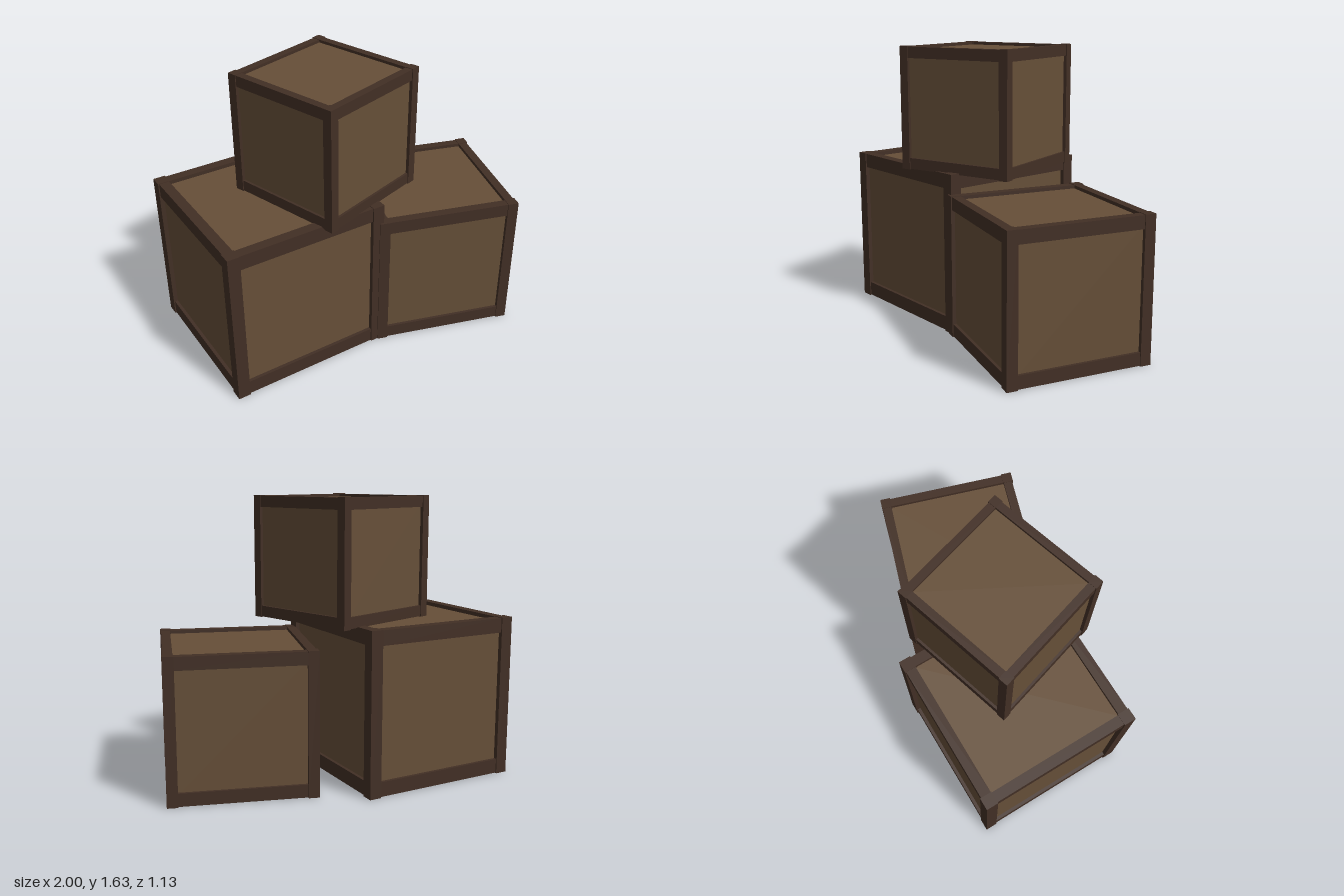
import * as THREE from 'three';

const panelWood = new THREE.MeshStandardMaterial({ color: 0x664f38 });
panelWood.name = 'panel wood';
const frameWood = new THREE.MeshStandardMaterial({ color: 0x422f25 });
frameWood.name = 'frame wood';

function addBox(parent, name, material, size, position) {
  const mesh = new THREE.Mesh(new THREE.BoxGeometry(...size), material);
  mesh.name = name;
  mesh.position.set(...position);
  parent.add(mesh);
}

// A crate standing on its local y = 0: recessed core, proud corner posts, rails between them
function makeCrate(name, width, height) {
  const crate = new THREE.Group();
  crate.name = name;
  const proud = 0.007 * width;
  const post = 0.074 * width;
  const railDepth = 0.063 * width;
  const railHeight = 0.09 * height;
  const recess = 0.027 * width;
  const half = width / 2;
  const railCentre = half - proud - railDepth / 2;
  const railLength = width - 2 * post;

  addBox(crate, 'panels', panelWood,
    [width - 2 * recess, height - 2 * recess, width - 2 * recess], [0, height / 2, 0]);

  for (const sx of [-1, 1]) {
    for (const sz of [-1, 1]) {
      addBox(crate, 'cornerPost', frameWood, [post, height, post],
        [sx * (half - post / 2), height / 2, sz * (half - post / 2)]);
    }
  }

  // Rails along the top and bottom edges
  const inset = 0.003;
  for (const y of [inset + railHeight / 2, height - inset - railHeight / 2]) {
    for (const s of [-1, 1]) {
      addBox(crate, 'rail', frameWood, [railLength, railHeight, railDepth], [0, y, s * railCentre]);
      addBox(crate, 'rail', frameWood, [railDepth, railHeight, railLength], [s * railCentre, y, 0]);
    }
  }
  return crate;
}

export function createModel() {
  const model = new THREE.Group();
  model.name = 'crateStack';
  // name, width, height, position, turn about y
  const crates = [
    ['largeCrate', 0.953, 0.94, [-0.477, 0, -0.045], 0.1],
    ['mediumCrate', 0.83, 0.826, [0.508, 0, 0.07], -0.207],
    ['topCrate', 0.715, 0.705, [-0.133, 0.928, 0.014], 0.395],
  ];
  for (const [name, width, height, position, turn] of crates) {
    const crate = makeCrate(name, width, height);
    crate.position.set(...position);
    crate.rotation.y = turn;
    model.add(crate);
  }
  return model;
}
